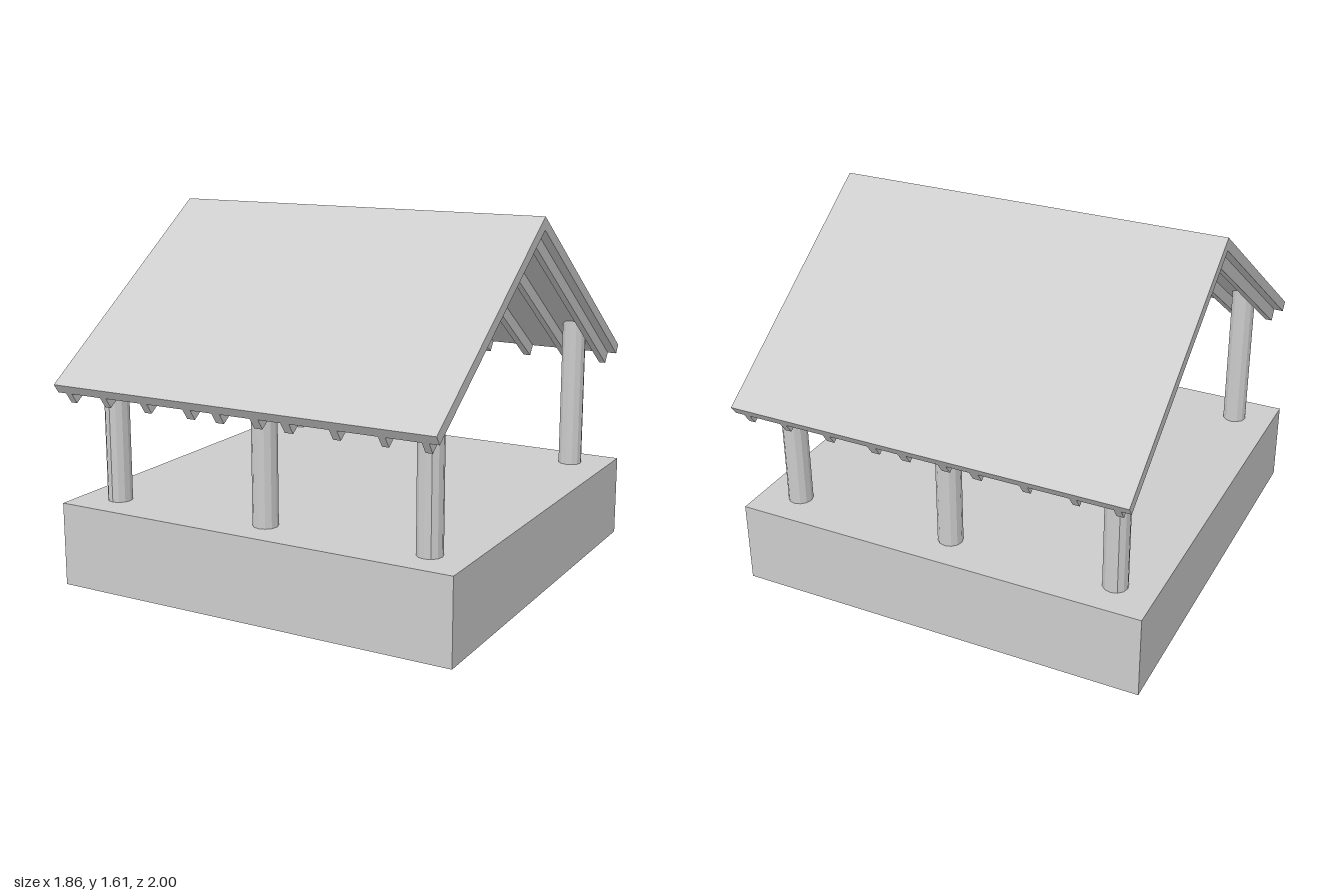
import * as THREE from 'three';

const SLOPE = 0.7;      // roof fall per unit of z
const RIDGE = 1.612;    // height of the ridge
const EAVE = 1.0;       // z of the eave's top edge
const TILT = Math.atan(SLOPE);

// Chevron running over the ridge, between two depths below the roof surface,
// extruded along x with ends cut square to the slope
function chevron(top, bottom, width) {
  const edge = (d) => [EAVE - d * Math.sin(TILT), RIDGE - SLOPE * EAVE - d * Math.cos(TILT)];
  const ridge = (d) => RIDGE - d / Math.cos(TILT);
  const [zt, yt] = edge(top);
  const [zb, yb] = edge(bottom);
  const shape = new THREE.Shape();
  shape.moveTo(-zt, yt);
  shape.lineTo(-zb, yb);
  shape.lineTo(0, ridge(bottom));
  shape.lineTo(zb, yb);
  shape.lineTo(zt, yt);
  shape.lineTo(0, ridge(top));
  shape.closePath();
  const geo = new THREE.ExtrudeGeometry(shape, { depth: width, bevelEnabled: false });
  geo.translate(0, 0, -width / 2);
  geo.rotateY(Math.PI / 2);
  return geo;
}

export function createModel() {
  const model = new THREE.Group();
  const material = new THREE.MeshStandardMaterial({ color: 0xcccccc, flatShading: true });
  const add = (name, geo, x = 0, y = 0, z = 0) => {
    const mesh = new THREE.Mesh(geo, material);
    mesh.name = name;
    mesh.position.set(x, y, z);
    model.add(mesh);
  };

  // Solid plinth
  const baseHeight = 0.37;
  add('base', new THREE.BoxGeometry(1.858, baseHeight, 1.858), 0, baseHeight / 2, 0);

  // Twelve-sided posts, their tops cut to the slope just inside the roof panel
  for (const side of [-1, 1]) {
    for (const x of [-0.75, 0, 0.75]) {
      const z = side * 0.76;
      const post = new THREE.CylinderGeometry(0.054, 0.054, 1, 12);
      const pos = post.attributes.position;
      for (let i = 0; i < pos.count; i++) {
        const roofY = RIDGE - 0.07 + 0.03 - SLOPE * Math.abs(z + pos.getZ(i));
        pos.setY(i, pos.getY(i) > 0 ? roofY : baseHeight);
      }
      post.computeVertexNormals();
      add('post', post, x, 0, z);
    }
  }

  // Roof panels meeting at the ridge
  add('roof', chevron(0, 0.046, 1.774));

  // Rafter pairs under the panels
  for (const side of [-1, 1]) {
    for (const [x, width] of [[0.09, 0.038], [0.23, 0.038], [0.443, 0.034], [0.65, 0.03], [0.83, 0.03]]) {
      add('rafter', chevron(0.046, 0.101, width), side * x);
    }
  }

  return model;
}
